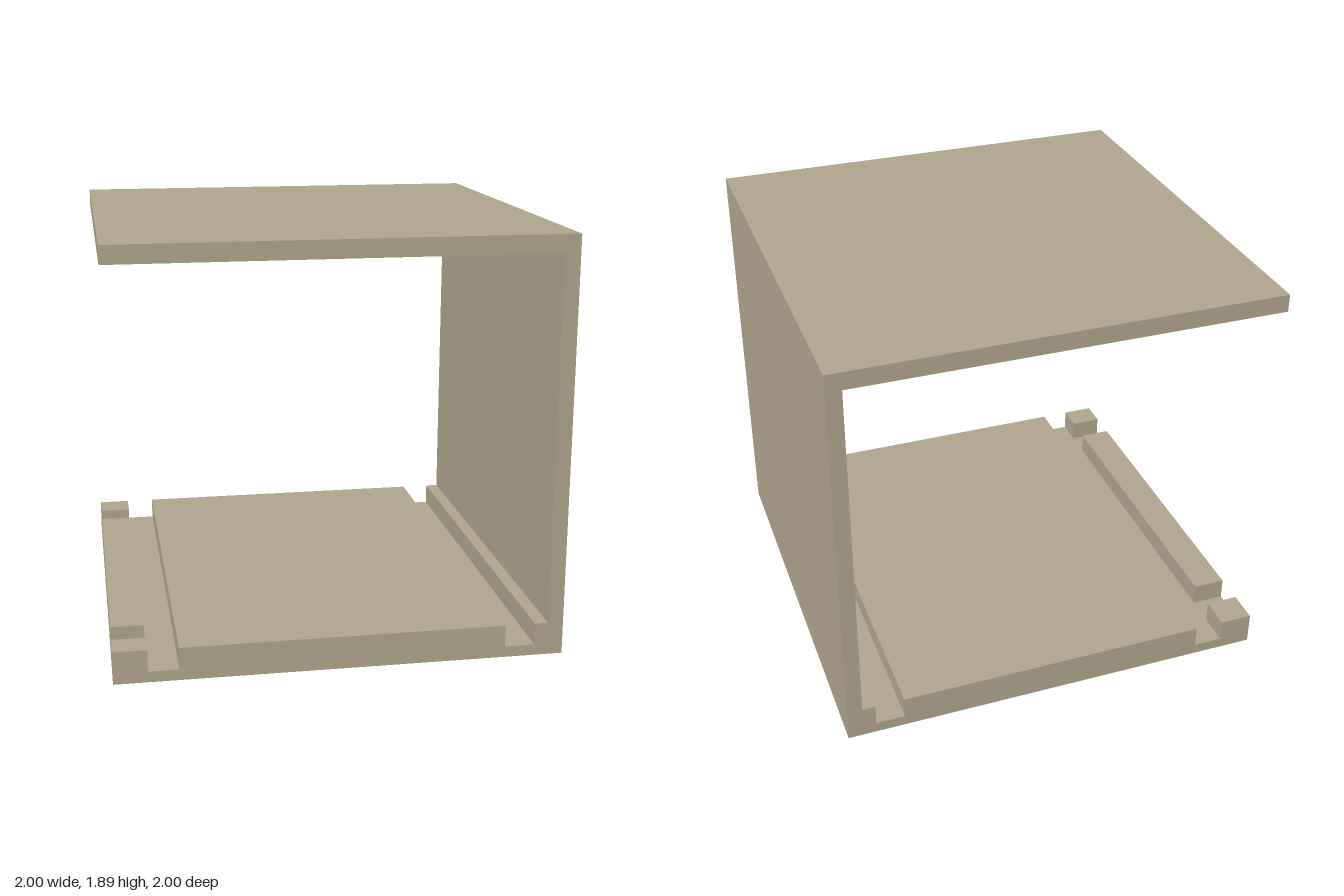
import * as THREE from 'three';

export function createModel() {
  const model = new THREE.Group();
  const tan = new THREE.MeshStandardMaterial({ color: 0xb0a48c });
  tan.name = 'tan';

  // C-shaped shell: base with two long grooves, side wall and roof
  const profile = new THREE.Shape([
    [-1, 0], [1, 0], [1, 1.89], [-0.995, 1.89], [-0.995, 1.81], [0.93, 1.81],
    [0.93, 0.15], [0.87, 0.15], [0.87, 0.05], [0.735, 0.05], [0.735, 0.15],
    [-0.715, 0.15], [-0.715, 0.05], [-1, 0.05],
  ].map(([x, y]) => new THREE.Vector2(x, y)));
  const shellGeometry = new THREE.ExtrudeGeometry(profile, { depth: 2, bevelEnabled: false });
  shellGeometry.translate(0, 0, -1);
  const shell = new THREE.Mesh(shellGeometry, tan);
  shell.name = 'shell';
  model.add(shell);

  // Raised rail on the open side, cut by a cross groove near each end
  const rails = [
    ['backRailBlock', -1, -0.85],
    ['middleRail', -0.715, 0.735],
    ['frontRailBlock', 0.87, 1],
  ];
  for (const [name, z0, z1] of rails) {
    const rail = new THREE.Mesh(new THREE.BoxGeometry(0.15, 0.1, z1 - z0), tan);
    rail.position.set(-0.925, 0.1, (z0 + z1) / 2);
    rail.name = name;
    model.add(rail);
  }
  return model;
}
